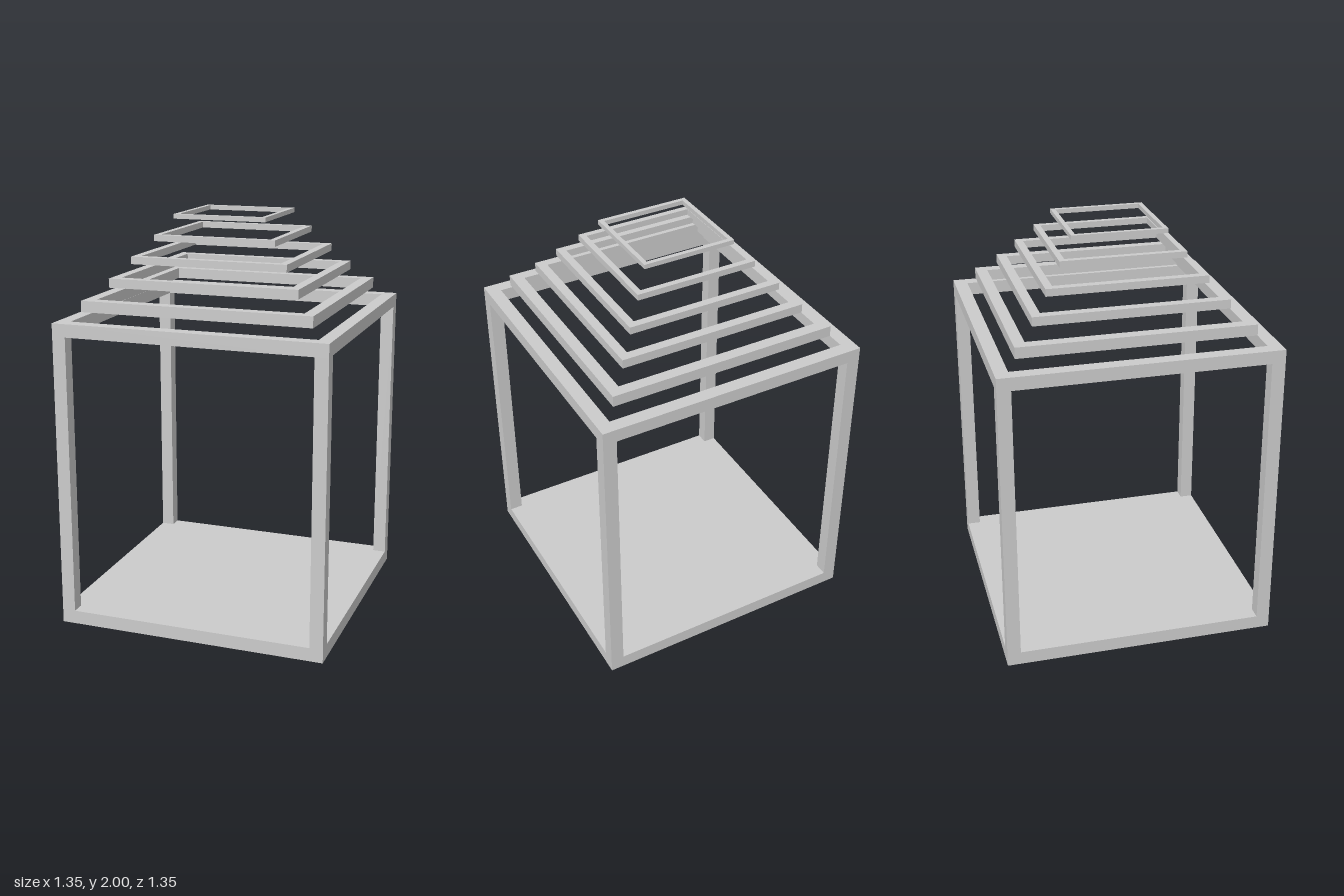
import * as THREE from 'three';

const material = new THREE.MeshStandardMaterial({ color: 0xcccccc, flatShading: true });

function add(parent, name, geometry, x = 0, y = 0, z = 0) {
  const mesh = new THREE.Mesh(geometry, material);
  mesh.name = name;
  mesh.position.set(x, y, z);
  parent.add(mesh);
}

// Square outline of the given half width
const square = (path, h) => {
  path.moveTo(-h, -h);
  path.lineTo(h, -h);
  path.lineTo(h, h);
  path.lineTo(-h, h);
  path.closePath();
  return path;
};

// Flat square ring lying level, with its underside at y = 0
function ringGeometry(outer, inner, height) {
  const shape = square(new THREE.Shape(), outer);
  shape.holes.push(square(new THREE.Path(), inner));
  const geometry = new THREE.ExtrudeGeometry(shape, { depth: height, bevelEnabled: false });
  return geometry.rotateX(-Math.PI / 2);
}

export function createModel() {
  const model = new THREE.Group();
  model.name = 'pavilion';

  const outer = 0.673, inner = 0.607, beam = outer - inner;
  const floorTop = 0.067, beamBottom = 1.457, beamTop = 1.521;

  // Solid floor slab
  add(model, 'floor', new THREE.BoxGeometry(2 * outer, floorTop, 2 * outer), 0, floorTop / 2, 0);

  // Four corner posts
  const postHeight = beamBottom - floorTop;
  const middle = (outer + inner) / 2;
  for (const sx of [-1, 1]) {
    for (const sz of [-1, 1]) {
      add(model, 'cornerPost', new THREE.BoxGeometry(beam, postHeight, beam),
        sx * middle, floorTop + postHeight / 2, sz * middle);
    }
  }

  // Beams joining the tops of the posts
  add(model, 'topBeams', ringGeometry(outer, inner, beamTop - beamBottom), 0, beamBottom, 0);

  // Floating roof rings: [outer half width, inner half width, bottom, top]
  const roof = new THREE.Group();
  roof.name = 'roof';
  model.add(roof);
  const rings = [
    [0.569, 0.513, 1.562, 1.616],
    [0.469, 0.423, 1.668, 1.712],
    [0.388, 0.350, 1.773, 1.809],
    [0.304, 0.275, 1.876, 1.906],
    [0.232, 0.210, 1.978, 2.0],
  ];
  for (const [out, hole, bottom, top] of rings) {
    add(roof, 'roofRing', ringGeometry(out, hole, top - bottom), 0, bottom, 0);
  }

  return model;
}
